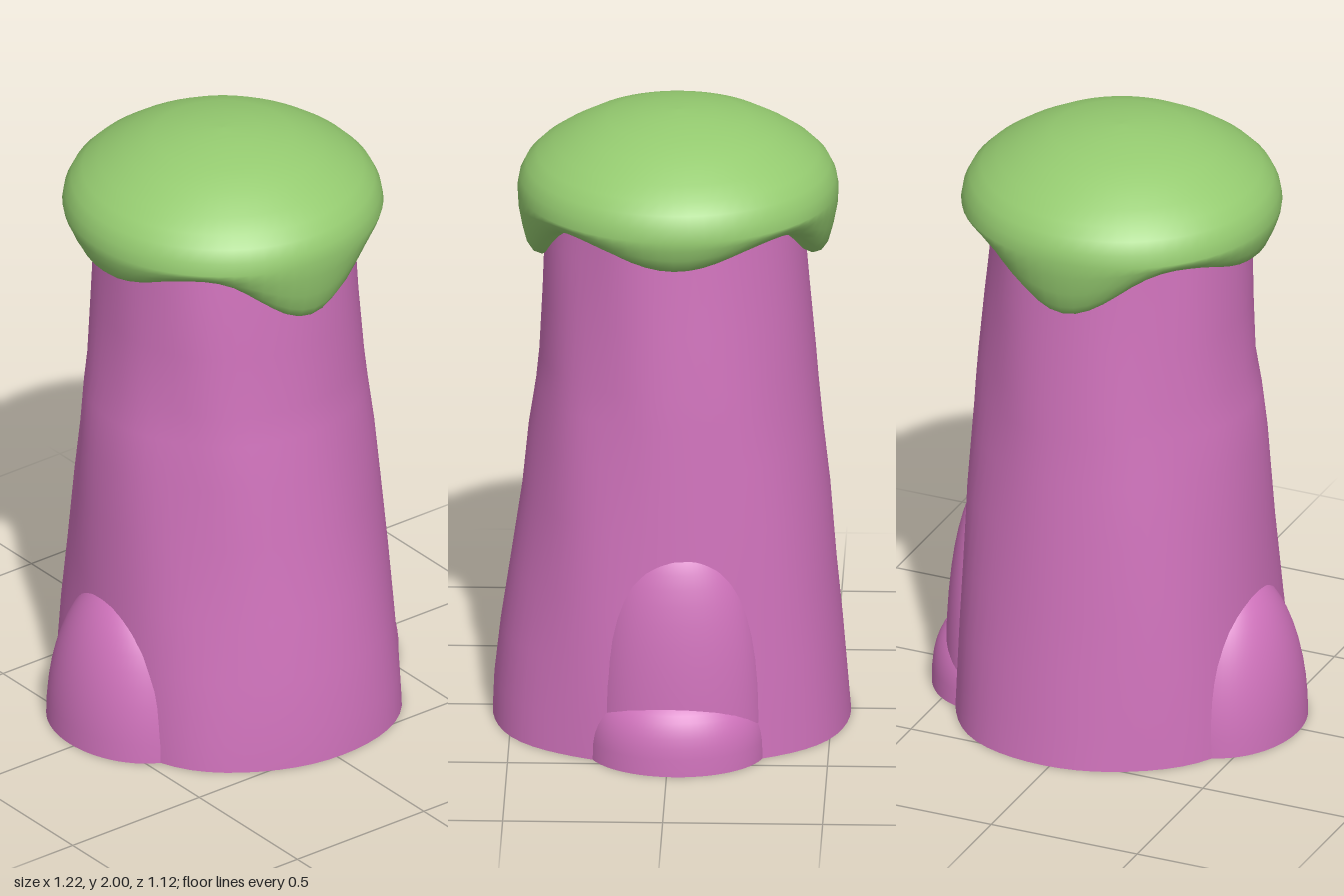
import * as THREE from 'three';

const pink = new THREE.MeshStandardMaterial({ color: 0xcf72bb });
pink.name = 'pinkStalk';
const green = new THREE.MeshStandardMaterial({ color: 0x95cb70 });
green.name = 'greenTop';

const SIDES = 64;

// Skin a stack of rings, listed from the bottom up; point(row, angle) gives [x, y, z], angle 0 faces +z
function loft(rowCount, point) {
  const positions = [], index = [];
  for (let i = 0; i < rowCount; i++) {
    for (let j = 0; j < SIDES; j++) positions.push(...point(i, (j / SIDES) * Math.PI * 2));
  }
  for (let i = 0; i < rowCount - 1; i++) {
    for (let j = 0; j < SIDES; j++) {
      const k = (j + 1) % SIDES;
      const a = i * SIDES + j, b = i * SIDES + k, c = a + SIDES, d = b + SIDES;
      index.push(a, b, d, a, d, c);
    }
  }
  const geometry = new THREE.BufferGeometry();
  geometry.setAttribute('position', new THREE.Float32BufferAttribute(positions, 3));
  geometry.setIndex(index);
  geometry.computeVertexNormals();
  return geometry;
}

// A lofted solid with a flat foot that keeps a sharp edge
function standing(name, rowCount, point, cx = 0, cz = 0) {
  const group = new THREE.Group();
  group.name = name;
  const side = new THREE.Mesh(loft(rowCount, point), pink);
  side.name = name + 'Side';
  const foot = new THREE.Mesh(loft(2, (i, t) => (i ? point(0, t) : [cx, 0, cz])), pink);
  foot.name = name + 'Foot';
  group.add(side, foot);
  return group;
}

// Stalk radii by height: y, front, back, +x side, -x side
const STALK = [
  [0, 0.56, 0.56, 0.5, 0.5],
  [0.12, 0.555, 0.55, 0.5, 0.495],
  [0.3, 0.535, 0.535, 0.495, 0.485],
  [0.5, 0.505, 0.515, 0.485, 0.478],
  [0.75, 0.468, 0.495, 0.472, 0.47],
  [0.95, 0.448, 0.472, 0.46, 0.46],
  [1.1, 0.425, 0.458, 0.452, 0.445],
  [1.2, 0.415, 0.45, 0.445, 0.422],
  [1.4, 0.405, 0.432, 0.43, 0.41],
  [1.6, 0.398, 0.415, 0.412, 0.405],
  [1.8, 0.38, 0.4, 0.4, 0.395],
];

function stalkPoint(i, t) {
  const [y, front, back, left, right] = STALK[i];
  const s = Math.sin(t), c = Math.cos(t);
  const w = s ** 4;
  const ripple = 0.005 * Math.sin(5 * t + 4 * y) * (1 - w) * s * s * 4;
  const r = (c > 0 ? front : back) * (1 - w) + (s > 0 ? left : right) * w + ripple;
  // the base leans very slightly towards +x
  const shift = 0.02 * Math.max(0, 1 - y) * c * c;
  return [r * s + shift, y, r * c];
}

// Rounded root lump; a higher power gives straighter walls and a flatter top
function lump(name, x, z, rx, ry, rz, power) {
  const rows = 14;
  return standing(name, rows, (i, t) => {
    const a = (i / (rows - 1)) * Math.PI / 2;
    const r = Math.cos(a) ** (2 / power), h = Math.sin(a) ** (2 / power);
    return [x + rx * r * Math.sin(t), ry * h, z + rz * r * Math.cos(t)];
  }, x, z);
}

// Cap underside and skirt: radius, and how far from the brow line (0) to the drip edge (1)
const SKIRT = [
  [0.36, 0.7], [0.395, 0.94], [0.425, 1], [0.452, 0.95], [0.473, 0.8],
  [0.487, 0.55], [0.499, 0.25], [0.502, 0],
];
// Cap dome: radius, height
const DOME = [
  [0.495, 1.785], [0.475, 1.825], [0.44, 1.86], [0.39, 1.895], [0.31, 1.941],
  [0.22, 1.973], [0.12, 1.992], [0.05, 1.998], [0, 2],
];
const BROW = 1.745;

// Four drips: long ones at front and back, short ones at the sides
function dripEdge(t) {
  const s = Math.sin(t), c = Math.cos(t);
  const depth = (c > 0 ? 0.18 : 0.165) * c * c + 0.075 * s * s;
  const long = (1 + Math.cos(4 * t)) / 2;
  return 1.7 - long * (Math.abs(c) > Math.abs(s) ? (c > 0 ? 0.18 : 0.165) : 0.075) * 0.8 - long * depth * 0.2;
}

function capPoint(i, t) {
  let r, y;
  if (i < SKIRT.length) {
    r = SKIRT[i][0];
    y = BROW + (dripEdge(t) - BROW) * SKIRT[i][1];
  } else {
    [r, y] = DOME[i - SKIRT.length];
  }
  return [r * Math.sin(t) - 0.005, y, r * Math.cos(t) - 0.018];
}

export function createModel() {
  const model = new THREE.Group();
  model.name = 'cappedStalk';

  model.add(standing('stalk', STALK.length, stalkPoint));
  model.add(lump('tallRightRoot', -0.38, -0.02, 0.23, 0.52, 0.29, 2));
  model.add(lump('leftRidge', 0.38, -0.03, 0.175, 0.73, 0.27, 2.6));
  model.add(lump('shortLeftRoot', 0.38, -0.025, 0.23, 0.25, 0.28, 2.8));

  const cap = new THREE.Mesh(loft(SKIRT.length + DOME.length, capPoint), green);
  cap.name = 'drippingCap';
  model.add(cap);
  return model;
}
